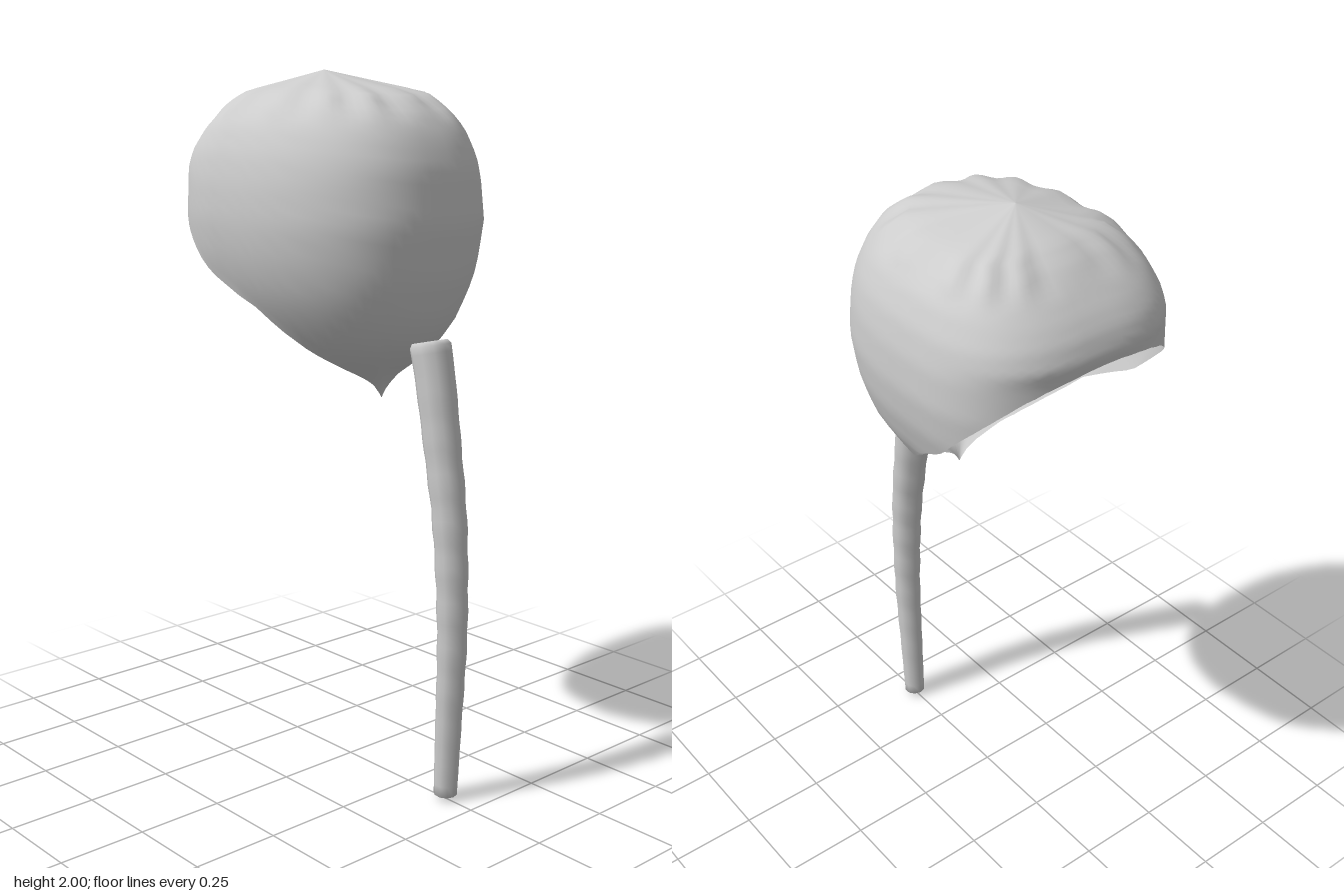
import * as THREE from 'three';

// Linear lookup in a list of [key, value] pairs with ascending keys
function lookup(table, k) {
  if (k <= table[0][0]) return table[0][1];
  for (let i = 1; i < table.length; i++) {
    const [k0, v0] = table[i - 1], [k1, v1] = table[i];
    if (k <= k1) return v0 + (v1 - v0) * (k - k0) / (k1 - k0);
  }
  return table[table.length - 1][1];
}

// Cap outline by height: half width, front z and back z; rim height by z
const halfWidth = [[1.11, 0.01], [1.15, 0.06], [1.2, 0.15], [1.25, 0.21], [1.3, 0.25], [1.4, 0.31], [1.5, 0.342],
  [1.6, 0.355], [1.7, 0.35], [1.78, 0.333], [1.85, 0.302], [1.9, 0.262], [1.94, 0.21], [2, 0]];
const frontZ = [[1.11, 0.13], [1.15, 0.14], [1.19, 0.18], [1.24, 0.25], [1.33, 0.31], [1.45, 0.35], [1.6, 0.37],
  [1.75, 0.352], [1.83, 0.32], [1.88, 0.285], [1.94, 0.2], [2, -0.11]];
const backZ = [[1.7, -0.453], [1.74, -0.46], [1.79, -0.44], [1.83, -0.41], [1.87, -0.37], [1.92, -0.31], [1.95, -0.26], [2, -0.11]];
const rimHeight = [[-0.46, 1.72], [-0.45, 1.7], [-0.36, 1.6], [-0.22, 1.46], [-0.06, 1.37], [0.03, 1.28],
  [0.1, 1.21], [0.12, 1.17], [0.13, 1.11]];
const MID_Z = -0.11;

// Point of the cap at angle a (0 = front) and height y
function capPoint(a, y) {
  const s = Math.sin(a), c = Math.cos(a);
  const e = c > 0 ? 2 / 2.4 : 2 / 2.8;
  const fade = Math.sin(Math.PI * Math.min(1, (2 - y) / 0.13));
  const pleat = 1 + 0.04 * fade * Math.cos(14 * a);
  const depth = c > 0 ? lookup(frontZ, y) - MID_Z : MID_Z - lookup(backZ, y);
  return [
    Math.sign(s) * Math.abs(s) ** e * lookup(halfWidth, y) * pleat,
    y,
    MID_Z + Math.sign(c) * Math.abs(c) ** e * depth * pleat,
  ];
}

// Joins rings of equal length into a smooth surface
function loft(rings) {
  const n = rings[0].length, index = [];
  for (let j = 0; j < rings.length - 1; j++) {
    for (let i = 0; i < n; i++) {
      const a = j * n + i, b = j * n + (i + 1) % n;
      index.push(a, a + n, b + n, a, b + n, b);
    }
  }
  const g = new THREE.BufferGeometry();
  g.setAttribute('position', new THREE.Float32BufferAttribute(rings.flat(2), 3));
  g.setIndex(index);
  g.computeVertexNormals();
  return g;
}

function capGeometry() {
  const cols = 84, rows = 30, rings = [];
  // Each column runs from the crown down to the slanted rim
  const ends = Array.from({ length: cols }, (_, i) => {
    const a = i / cols * Math.PI * 2;
    let y = 1.95;
    while (y > 1.11 && y > lookup(rimHeight, capPoint(a, y)[2])) y -= 0.002;
    return y;
  });
  for (let j = 0; j <= rows; j++) {
    const drop = (j / rows) ** 1.6;
    rings.push(ends.map((end, i) => capPoint(i / cols * Math.PI * 2, 2 - (2 - end) * drop)));
  }
  return loft(rings);
}

// Tapered, gently rippled tail along a curved path, closed at both ends
function tailGeometry() {
  const path = new THREE.CatmullRomCurve3(
    [[1.29, 0.318], [1.2, 0.338], [1.0, 0.372], [0.8, 0.402], [0.5, 0.417], [0.2, 0.407], [0.015, 0.4]]
      .map(([y, z]) => new THREE.Vector3(0, y, z)));
  const steps = 40, sides = 10, rings = [];
  const ring = (t, r, shift) => {
    const p = path.getPointAt(t), d = path.getTangentAt(t);
    p.addScaledVector(d, shift);
    return Array.from({ length: sides }, (_, i) => {
      const a = i / sides * Math.PI * 2, c = Math.cos(a) * r;
      return [Math.sin(a) * r, p.y + d.z * c, p.z - d.y * c];
    });
  };
  const radius = (t) => (0.057 - 0.024 * t) * (1 + 0.035 * Math.sin(t * 68) * Math.sin(Math.PI * t));
  rings.push(ring(0, 0, 0), ring(0, 0.049, 0));
  for (let j = 0; j <= steps; j++) {
    const t = j / steps;
    rings.push(ring(t, radius(t), j === 0 ? 0.012 : 0));
  }
  rings.push(ring(1, 0, 0.015));
  return loft(rings);
}

export function createModel() {
  const group = new THREE.Group();
  group.name = 'hairWithTail';
  const hair = new THREE.MeshStandardMaterial({ color: 0xcccccc, side: THREE.DoubleSide });
  hair.name = 'light grey hair';

  const cap = new THREE.Mesh(capGeometry(), hair);
  cap.name = 'hairCap';
  const tail = new THREE.Mesh(tailGeometry(), hair);
  tail.name = 'hairTail';
  group.add(cap, tail);
  return group;
}
